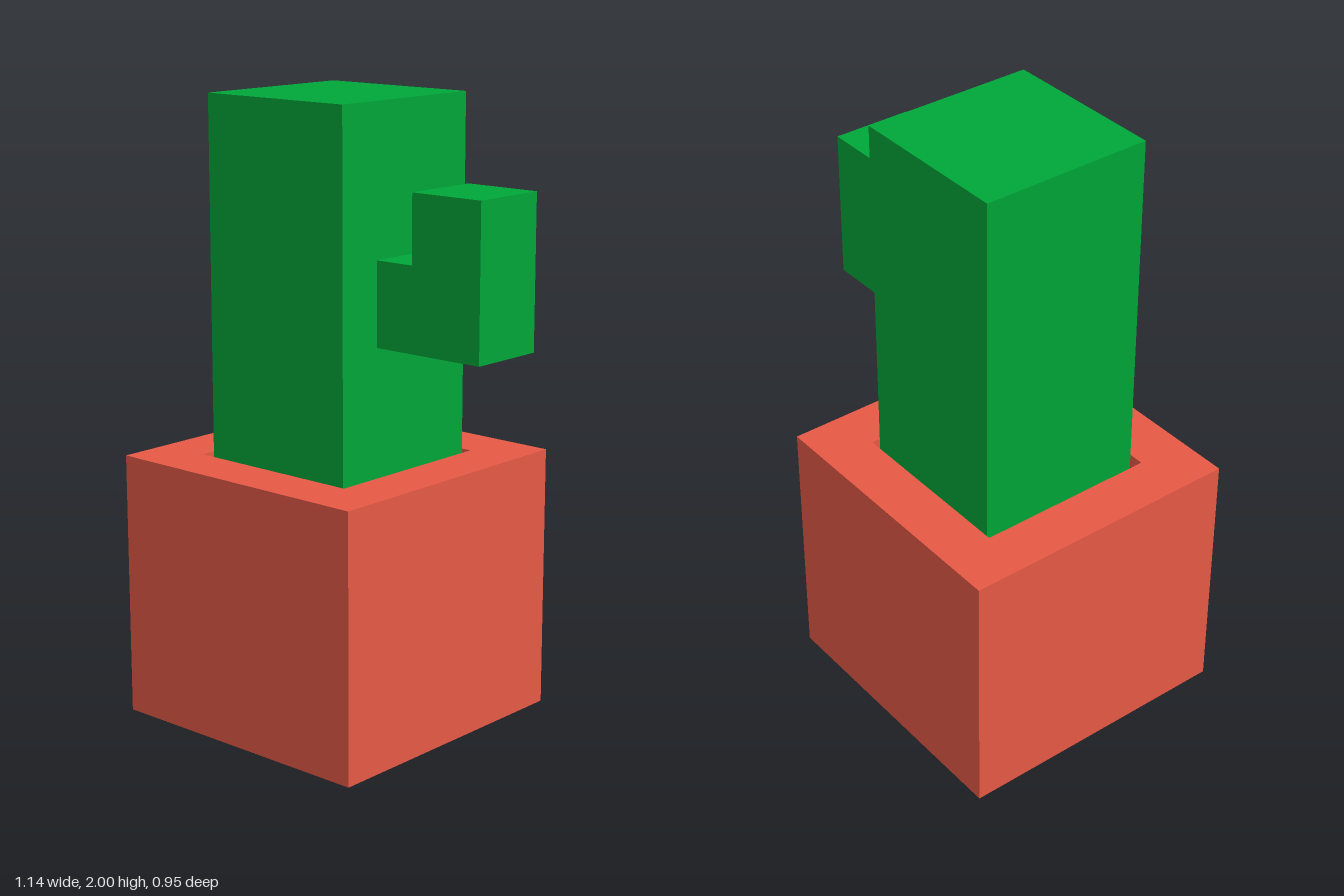
import * as THREE from 'three';

const material = (name, color) => {
  const m = new THREE.MeshStandardMaterial({ color });
  m.name = name;
  return m;
};

// Trace a rectangle, as an outline or as a hole
const rect = (path, x0, x1, y0, y1) => {
  path.moveTo(x0, y0);
  path.lineTo(x1, y0);
  path.lineTo(x1, y1);
  path.lineTo(x0, y1);
  path.closePath();
  return path;
};

export function createModel() {
  const terracotta = material('terracotta', 0xe95a46);
  const soilBrown = material('soil brown', 0x331819);
  const green = material('cactus green', 0x00a638);

  const model = new THREE.Group();
  model.name = 'pottedCactus';
  const add = (name, geometry, mat, x = 0, y = 0, z = 0) => {
    const mesh = new THREE.Mesh(geometry, mat);
    mesh.name = name;
    mesh.position.set(x, y, z);
    model.add(mesh);
  };

  const potX = -0.099, potTop = 0.858, soilY = 0.81;

  // Square pot with a square opening
  const potShape = rect(new THREE.Shape(), -0.474, 0.474, -0.474, 0.474);
  potShape.holes.push(rect(new THREE.Path(), -0.302, 0.302, -0.302, 0.302));
  const potGeometry = new THREE.ExtrudeGeometry(potShape, { depth: potTop, bevelEnabled: false });
  potGeometry.rotateX(-Math.PI / 2);
  add('pot', potGeometry, terracotta, potX);

  // Pot floor closes the opening underneath
  add('potFloor', new THREE.PlaneGeometry(0.604, 0.604).rotateX(Math.PI / 2), terracotta, potX);

  // Soil sits just below the rim
  add('soil', new THREE.PlaneGeometry(0.604, 0.604).rotateX(-Math.PI / 2), soilBrown, potX, soilY);

  // Trunk
  const trunkHeight = 2 - soilY;
  add('trunk', new THREE.BoxGeometry(0.553, trunkHeight, 0.568), green, potX, soilY + trunkHeight / 2, -0.006);

  // L-shaped arm on the left side
  const armShape = new THREE.Shape([
    [0.177, 1.257], [0.572, 1.257], [0.572, 1.742], [0.314, 1.742], [0.314, 1.525], [0.177, 1.525],
  ].map(([x, y]) => new THREE.Vector2(x, y)));
  add('arm', new THREE.ExtrudeGeometry(armShape, { depth: 0.262, bevelEnabled: false }), green, 0, 0, -0.138);

  return model;
}
